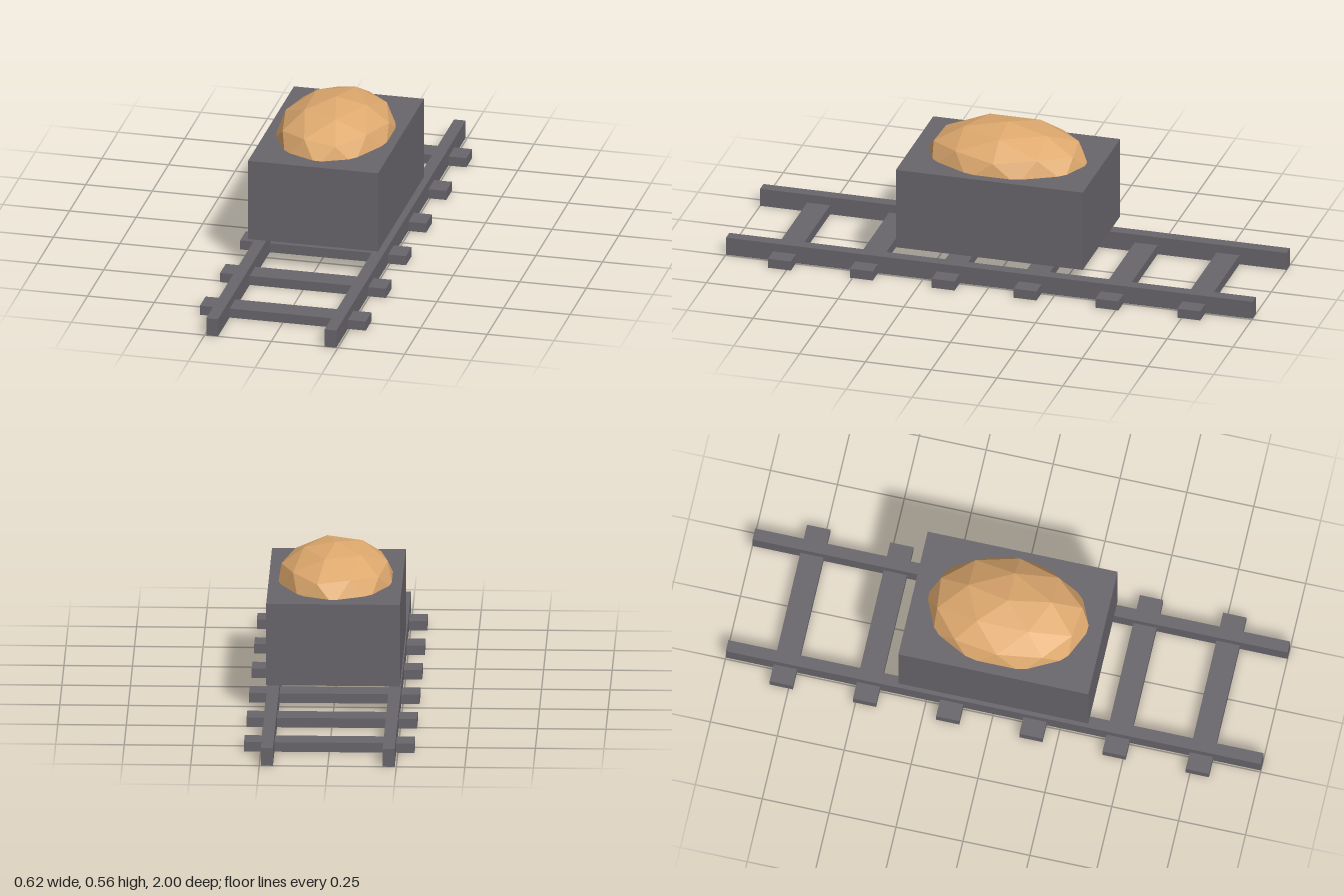
import * as THREE from 'three';

export function createModel() {
  const model = new THREE.Group();
  model.name = 'mineCartOnTrack';

  const iron = new THREE.MeshStandardMaterial({ color: 0x69666c });
  iron.name = 'dark grey';
  const ore = new THREE.MeshStandardMaterial({ color: 0xdea96e, flatShading: true });
  ore.name = 'sandy orange';

  function addBox(name, w, h, d, x, bottom, z) {
    const mesh = new THREE.Mesh(new THREE.BoxGeometry(w, h, d), iron);
    mesh.name = name;
    mesh.position.set(x, bottom + h / 2, z);
    model.add(mesh);
  }

  // Track: two rails over six evenly spaced sleepers
  addBox('leftRail', 0.044, 0.068, 2, 0.222, 0, 0);
  addBox('rightRail', 0.044, 0.068, 2, -0.222, 0, 0);
  for (let i = 0; i < 6; i++) {
    addBox('sleeper' + (i + 1), 0.622, 0.036, 0.087, 0, 0, (i - 2.5) * 0.311);
  }

  // Cart body, floating just above the rails
  addBox('cartBody', 0.488, 0.31, 0.71, 0, 0.113, 0);

  // Ore heap: faceted ball with one corner straight up, squashed and sunk into the cart
  const heap = new THREE.IcosahedronGeometry(1, 1);
  heap.rotateX(-Math.atan((1 + Math.sqrt(5)) / 2));
  heap.rotateY(Math.PI / 2);
  heap.scale(0.222, 0.153, 0.311);
  heap.computeVertexNormals();
  const oreHeap = new THREE.Mesh(heap, ore);
  oreHeap.name = 'oreHeap';
  oreHeap.position.y = 0.403;
  model.add(oreHeap);

  return model;
}
